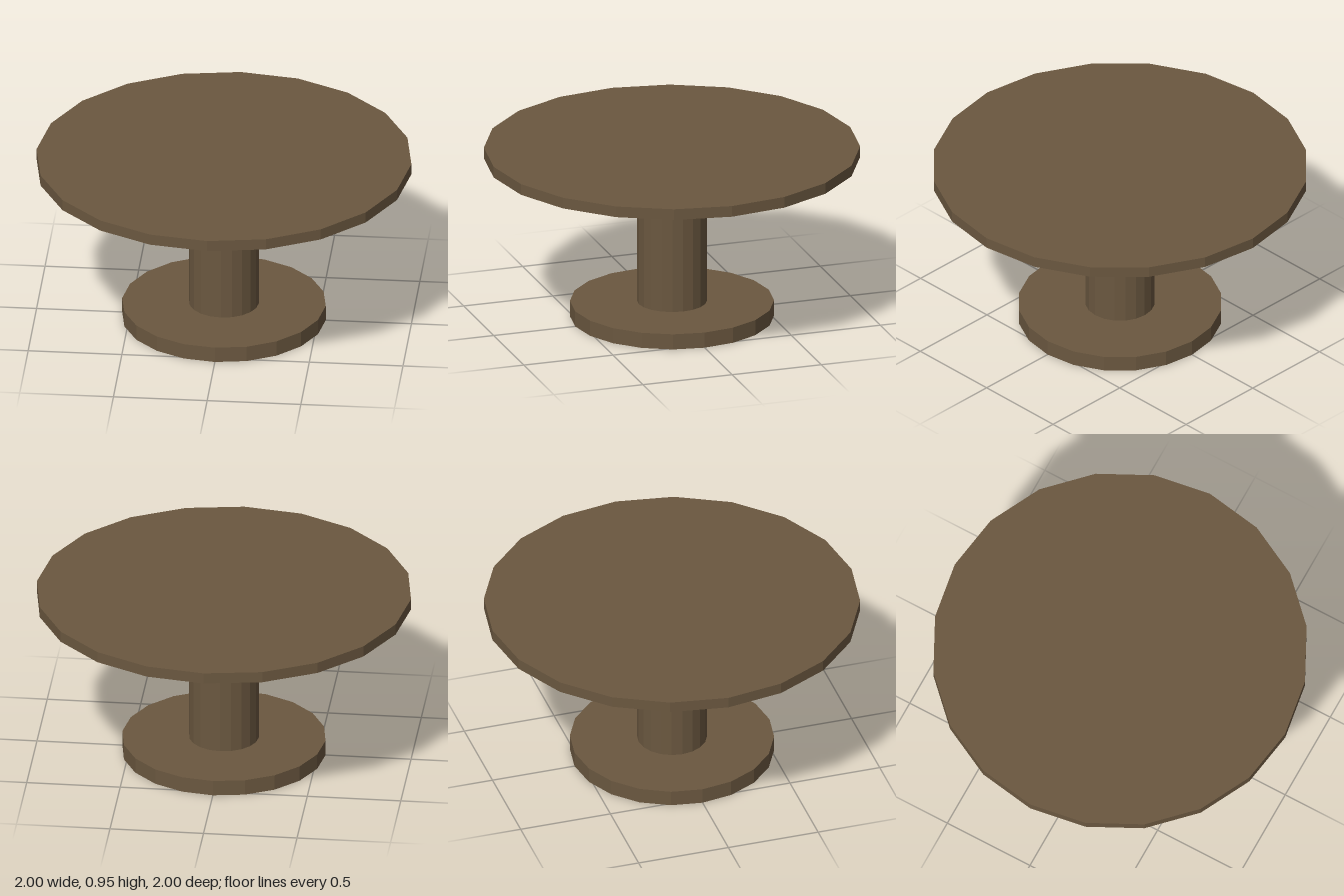
import * as THREE from 'three';

const SIDES = 20;

export function createModel() {
  const table = new THREE.Group();
  table.name = 'pedestalTable';
  const wood = new THREE.MeshStandardMaterial({ color: 0x6b5840, flatShading: true });

  // Upright 20-sided disc or post between two heights
  const addRound = (name, radius, bottom, top) => {
    const mesh = new THREE.Mesh(
      new THREE.CylinderGeometry(radius, radius, top - bottom, SIDES), wood);
    mesh.name = name;
    mesh.position.y = (bottom + top) / 2;
    table.add(mesh);
  };

  addRound('base', 0.543, 0, 0.085);
  addRound('column', 0.186, 0.085, 0.89);
  addRound('tabletop', 1, 0.89, 0.95);
  return table;
}
